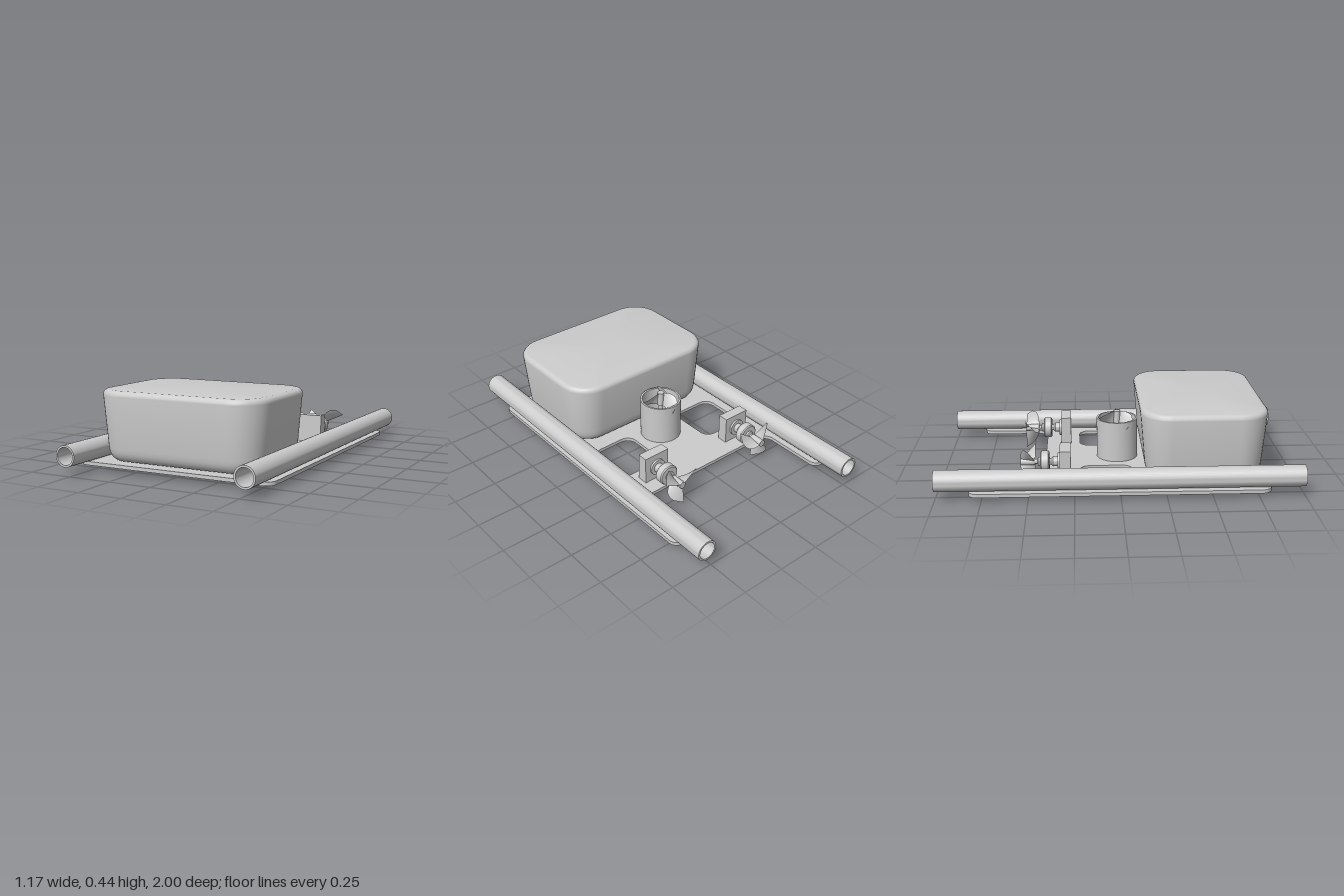
import * as THREE from 'three';
import { toCreasedNormals } from 'three/addons/utils/BufferGeometryUtils.js';

const material = new THREE.MeshStandardMaterial({ color: 0xcccccc });
const thin = new THREE.MeshStandardMaterial({ color: 0xcccccc, side: THREE.DoubleSide });

function mesh(name, geometry, parent, mat = material) {
  const m = new THREE.Mesh(geometry, mat);
  m.name = name;
  parent.add(m);
  return m;
}

// Polygon with rounded corners; each corner is [x, y, radius]
function rounded(corners, path) {
  const n = corners.length;
  corners.forEach(([x, y, r], i) => {
    const p = new THREE.Vector2(x, y);
    const towards = ([qx, qy]) =>
      new THREE.Vector2(qx - x, qy - y).setLength(r).add(p);
    const a = towards(corners[(i + n - 1) % n]);
    const b = towards(corners[(i + 1) % n]);
    if (i === 0) path.moveTo(a.x, a.y);
    else path.lineTo(a.x, a.y);
    // cubic close to a circular arc
    const c1 = a.clone().lerp(p, 0.552), c2 = b.clone().lerp(p, 0.552);
    path.bezierCurveTo(c1.x, c1.y, c2.x, c2.y, b.x, b.y);
  });
  path.closePath();
  return path;
}

// Base plate: notch at the back, two windows, four vents under the duct
function plateGeometry() {
  const shape = rounded([
    [-0.58, 0.82, 0.06], [-0.58, -0.82, 0.05], [-0.465, -0.82, 0.05], [-0.465, -0.42, 0.06],
    [0.465, -0.42, 0.06], [0.465, -0.82, 0.05], [0.58, -0.82, 0.05], [0.58, 0.82, 0.06],
  ], new THREE.Shape());
  for (const s of [-1, 1]) {
    shape.holes.push(rounded([
      [s * 0.175, -0.22, 0.06], [s * 0.445, -0.22, 0.06],
      [s * 0.445, 0.08, 0.06], [s * 0.175, 0.08, 0.06],
    ], new THREE.Path()));
  }
  const inner = 0.045, outer = 0.103, arm = 0.022;
  for (let q = 0; q < 4; q++) {
    const a = q * Math.PI / 2, b = a + Math.PI / 2;
    const i = Math.asin(arm / inner), o = Math.asin(arm / outer);
    const vent = new THREE.Path();
    vent.absarc(0, 0, outer, a + o, b - o, false);
    vent.absarc(0, 0, inner, b - i, a + i, true);
    vent.closePath();
    shape.holes.push(vent);
  }
  const g = new THREE.ExtrudeGeometry(shape, { depth: 0.02, bevelEnabled: false, curveSegments: 8 });
  return toCreasedNormals(g.rotateX(Math.PI / 2).translate(0, 0.05, 0), 0.6);
}

// Tapered case: rounded-rectangle rings, each [height, inset]; null insets close the ends
function caseGeometry(rings, hx, hz, radius) {
  const seg = 10, loops = rings.map(([y, inset]) => {
    const loop = [];
    for (let c = 0; c < 4; c++) {
      const sx = c === 0 || c === 3 ? 1 : -1, sz = c < 2 ? 1 : -1;
      for (let k = 0; k <= seg; k++) {
        const t = (c + k / seg) * Math.PI / 2, r = radius - inset;
        loop.push(inset === null ? [0, y, 0]
          : [sx * (hx - radius) + r * Math.cos(t), y, sz * (hz - radius) + r * Math.sin(t)]);
      }
    }
    return loop;
  });
  const pos = [];
  for (let i = 0; i + 1 < loops.length; i++) {
    const a = loops[i], b = loops[i + 1];
    for (let j = 0; j < a.length; j++) {
      const k = (j + 1) % a.length;
      if (i > 0) pos.push(...a[j], ...b[j], ...a[k]);
      if (i + 2 < loops.length) pos.push(...b[j], ...b[k], ...a[k]);
    }
  }
  const g = new THREE.BufferGeometry();
  g.setAttribute('position', new THREE.Float32BufferAttribute(pos, 3));
  g.computeVertexNormals();
  return toCreasedNormals(g, 0.6);
}

// Hollow tube or duct, centred on y
function pipeGeometry(outer, inner, length, segments) {
  const h = length / 2;
  const profile = [[inner, -h], [outer, -h], [outer, h], [inner, h], [inner, -h]]
    .map(([x, y]) => new THREE.Vector2(x, y));
  return toCreasedNormals(new THREE.LatheGeometry(profile, segments), 0.6);
}

// Helical blade: one straight radial edge, one swept curved edge
function bladeGeometry() {
  const g = new THREE.PlaneGeometry(1, 1, 14, 8);
  const p = g.attributes.position;
  for (let i = 0; i < p.count; i++) {
    const u = p.getX(i) + 0.5, v = p.getY(i) + 0.5;
    const width = Math.sqrt(Math.max(0, 1 - u ** 3));
    const r = 0.015 + 0.11 * u;
    const a = -1.48 - 0.8 * v * width;
    p.setXYZ(i, r * Math.cos(a), r * Math.sin(a), 0.04 - 0.08 * v * width);
  }
  g.computeVertexNormals();
  return g;
}

// Three-bladed propeller turning about z
function propeller(name) {
  const g = new THREE.Group();
  g.name = name;
  const blade = bladeGeometry();
  for (let i = 0; i < 3; i++) {
    mesh('blade', blade, g, thin).rotation.z = i * Math.PI * 2 / 3;
  }
  mesh('hub', new THREE.CylinderGeometry(0.02, 0.02, 0.08, 24).rotateX(Math.PI / 2), g);
  return g;
}

export function createModel() {
  const model = new THREE.Group();
  model.name = 'raft';

  mesh('basePlate', plateGeometry(), model);

  // Side floats
  const float = pipeGeometry(0.059, 0.048, 2, 40).rotateX(Math.PI / 2);
  for (const s of [-1, 1]) mesh('floatTube', float, model).position.set(s * 0.526, 0.109, 0);

  // Equipment case
  const rings = [[0.05, null], [0.05, 0.09], [0.056, 0.065], [0.068, 0.048], [0.085, 0.036],
    [0.105, 0.029], [0.13, 0.025], [0.41, 0.001], [0.422, 0.002], [0.433, 0.01],
    [0.438, 0.019], [0.44, 0.03], [0.44, null]];
  mesh('case', caseGeometry(rings, 0.49, 0.352, 0.17), model).position.z = 0.467;

  // Vertical thruster in its duct
  const lift = new THREE.Group();
  lift.name = 'verticalThruster';
  model.add(lift);
  mesh('duct', pipeGeometry(0.119, 0.108, 0.235, 48), lift).position.y = 0.1675;
  mesh('motor', new THREE.CylinderGeometry(0.042, 0.042, 0.1, 32), lift).position.y = 0.1;
  mesh('shaft', new THREE.CylinderGeometry(0.012, 0.012, 0.13, 16), lift).position.y = 0.205;
  const liftPropeller = propeller('liftPropeller');
  liftPropeller.rotation.x = Math.PI / 2;
  liftPropeller.position.y = 0.285;
  lift.add(liftPropeller);

  // Rear thrusters: mounting block, stepped motor and propeller
  const steps = [[0, 0], [0.048, 0], [0.048, 0.014], [0.028, 0.014], [0.028, 0.04], [0.018, 0.05],
    [0.018, 0.06], [0.054, 0.06], [0.06, 0.066], [0.06, 0.104], [0.054, 0.11], [0.026, 0.11],
    [0.026, 0.122], [0.013, 0.126], [0.013, 0.19], [0, 0.19]].map(([x, y]) => new THREE.Vector2(x, y));
  const motor = toCreasedNormals(new THREE.LatheGeometry(steps, 32), 0.6).rotateX(-Math.PI / 2);
  for (const s of [-1, 1]) {
    const thruster = new THREE.Group();
    thruster.name = s > 0 ? 'leftThruster' : 'rightThruster';
    thruster.position.set(s * 0.3, 0.127, 0);
    model.add(thruster);
    mesh('mountBlock', new THREE.BoxGeometry(0.16, 0.16, 0.06), thruster).position.set(0, 0.003, -0.302);
    mesh('motor', motor, thruster).position.z = -0.33;
    const drive = propeller('drivePropeller');
    drive.position.z = -0.51;
    if (s > 0) drive.rotation.y = Math.PI;
    thruster.add(drive);
  }
  return model;
}
